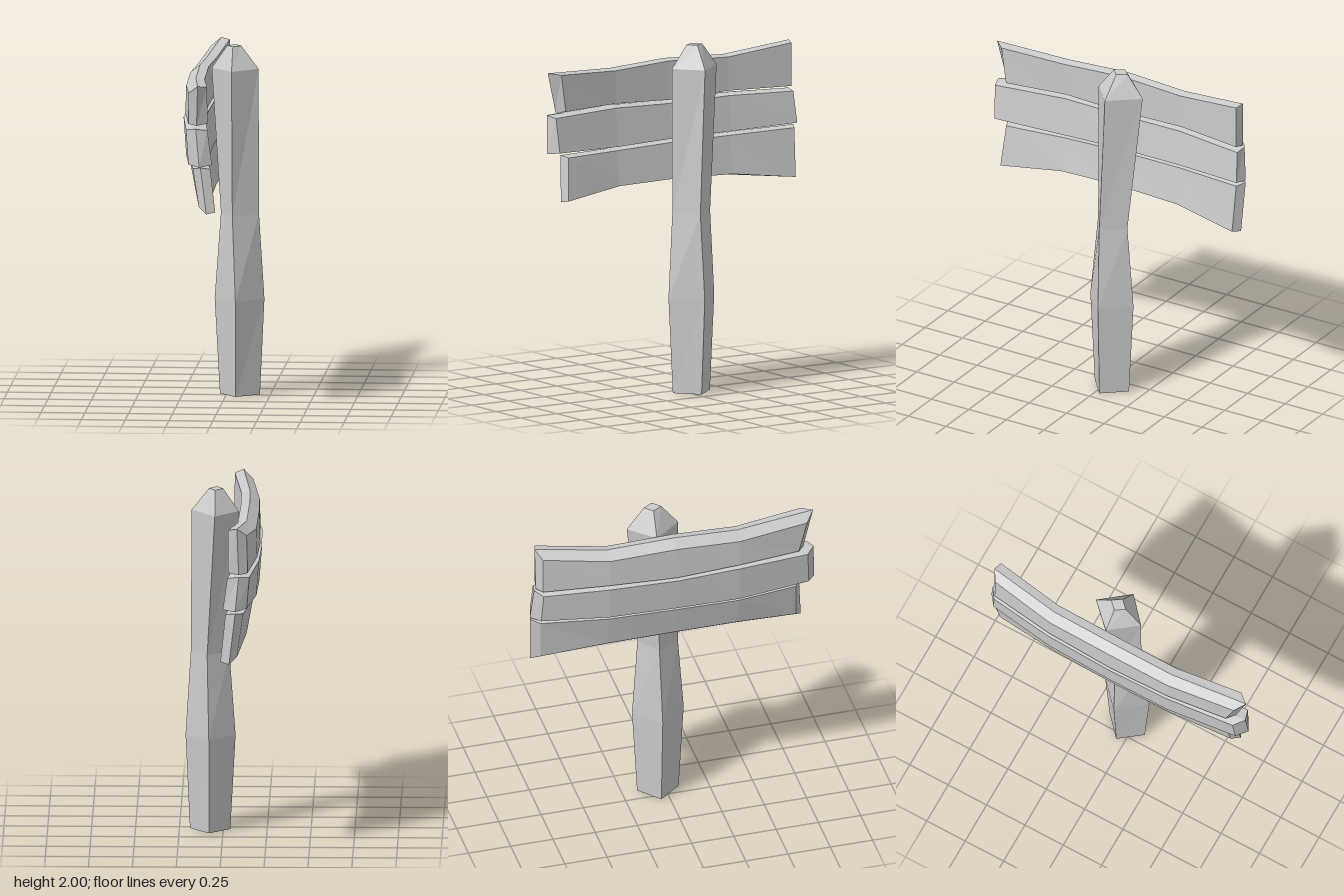
import * as THREE from 'three';

const material = new THREE.MeshStandardMaterial({ color: 0xcccccc, flatShading: true });

// Skin a list of cross-sections (each a ring of [x, y, z]) and cap both ends.
function loft(rings, name) {
  const pos = [];
  const quad = (a, b, c, d) => pos.push(...a, ...b, ...c, ...a, ...c, ...d);
  const n = rings[0].length;
  for (let r = 0; r < rings.length - 1; r++) {
    for (let i = 0; i < n; i++) {
      const j = (i + 1) % n;
      quad(rings[r][i], rings[r][j], rings[r + 1][j], rings[r + 1][i]);
    }
  }
  const first = rings[0], last = rings[rings.length - 1];
  for (let i = 0; i < n / 2 - 1; i++) {
    const k = [i, i + 1, n - 2 - i, n - 1 - i];
    quad(...k.map(v => last[v]));
    quad(...k.reverse().map(v => first[v]));
  }
  const geometry = new THREE.BufferGeometry();
  geometry.setAttribute('position', new THREE.Float32BufferAttribute(pos, 3));
  geometry.computeVertexNormals();
  const mesh = new THREE.Mesh(geometry, material);
  mesh.name = name;
  return mesh;
}

// Post: four corners (left, front, right, back) as [x, z] at each height.
const postLevels = [
  { y: 0, corners: [[-0.04, -0.05], [0.06, 0.08], [0.19, -0.03], [0.08, -0.16]] },
  { y: 0.55, corners: [[-0.07, -0.05], [0.06, 0.11], [0.215, -0.035], [0.08, -0.19]] },
  { y: 1.04, corners: [[-0.035, -0.06], [0.04, 0.07], [0.185, -0.025], [0.09, -0.155]] },
  { y: 1.87, corners: [[-0.09, -0.09], [0.035, 0.07], [0.18, -0.06], [0.045, -0.23]] },
  { y: 2, corners: [[0, -0.085], [0.035, -0.03], [0.08, -0.075], [0.045, -0.13]] },
];

// Board stations run from the front end to the back end; bend bows the board.
const midZ = [0.37, 0, -0.4];
const bend = [0.05, 0.005, 0, 0.01, 0.058];

// topX / bottomX: outer face, ridge, inner face. inset: chamfer of the outer face.
// frontZ / backZ: [outer, ridge, inner] at the top, then at the bottom.
const boards = [
  {
    name: 'topBoard', topX: [-0.205, -0.15, -0.1], bottomX: [-0.21, -0.16, -0.1],
    top: [1.9, 1.88, 1.9, 1.885, 1.935], bottom: [1.665, 1.67, 1.655, 1.67, 1.665],
    inset: [0.045, 0.005],
    frontZ: [[0.78, 0.83, 0.77], [0.73, 0.77, 0.74]],
    backZ: [[-0.78, -0.815, -0.8], [-0.78, -0.81, -0.8]],
  },
  {
    name: 'middleBoard', topX: [-0.22, -0.16, -0.095], bottomX: [-0.205, -0.14, -0.07],
    top: [1.655, 1.665, 1.655, 1.662, 1.655], bottom: [1.435, 1.425, 1.435, 1.44, 1.455],
    inset: [0.01, 0.01],
    frontZ: [[0.78, 0.83, 0.81], [0.79, 0.84, 0.8]],
    backZ: [[-0.78, -0.82, -0.81], [-0.79, -0.84, -0.82]],
  },
  {
    name: 'bottomBoard', topX: [-0.185, -0.14, -0.085], bottomX: [-0.15, -0.105, -0.055],
    top: [1.42, 1.42, 1.43, 1.434, 1.445], bottom: [1.155, 1.2, 1.205, 1.195, 1.145],
    inset: [0.01, 0.035],
    frontZ: [[0.72, 0.75, 0.73], [0.73, 0.77, 0.75]],
    backZ: [[-0.79, -0.84, -0.81], [-0.78, -0.83, -0.8]],
  },
];

// Six-point section: flat inner face, ridge, chamfered outer face.
function boardRing(b, s) {
  const z = s === 0 ? b.frontZ : s === 4 ? b.backZ : [0, 1].map(() => Array(3).fill(midZ[s - 1]));
  const topY = [b.top[s] - b.inset[0], b.top[s], b.top[s] - 0.01];
  const bottomY = [b.bottom[s] + b.inset[1], b.bottom[s], b.bottom[s] + 0.01];
  const upper = [0, 1, 2].map(i => [b.topX[i] + bend[s], topY[i], z[0][i]]);
  const lower = [2, 1, 0].map(i => [b.bottomX[i] + bend[s], bottomY[i], z[1][i]]);
  return [...upper, ...lower];
}

export function createModel() {
  const model = new THREE.Group();
  model.name = 'woodenSign';
  model.add(loft(postLevels.map(l => l.corners.map(([x, z]) => [x, l.y, z])), 'post'));
  for (const b of boards) {
    model.add(loft([0, 1, 2, 3, 4].map(s => boardRing(b, s)), b.name));
  }
  return model;
}
